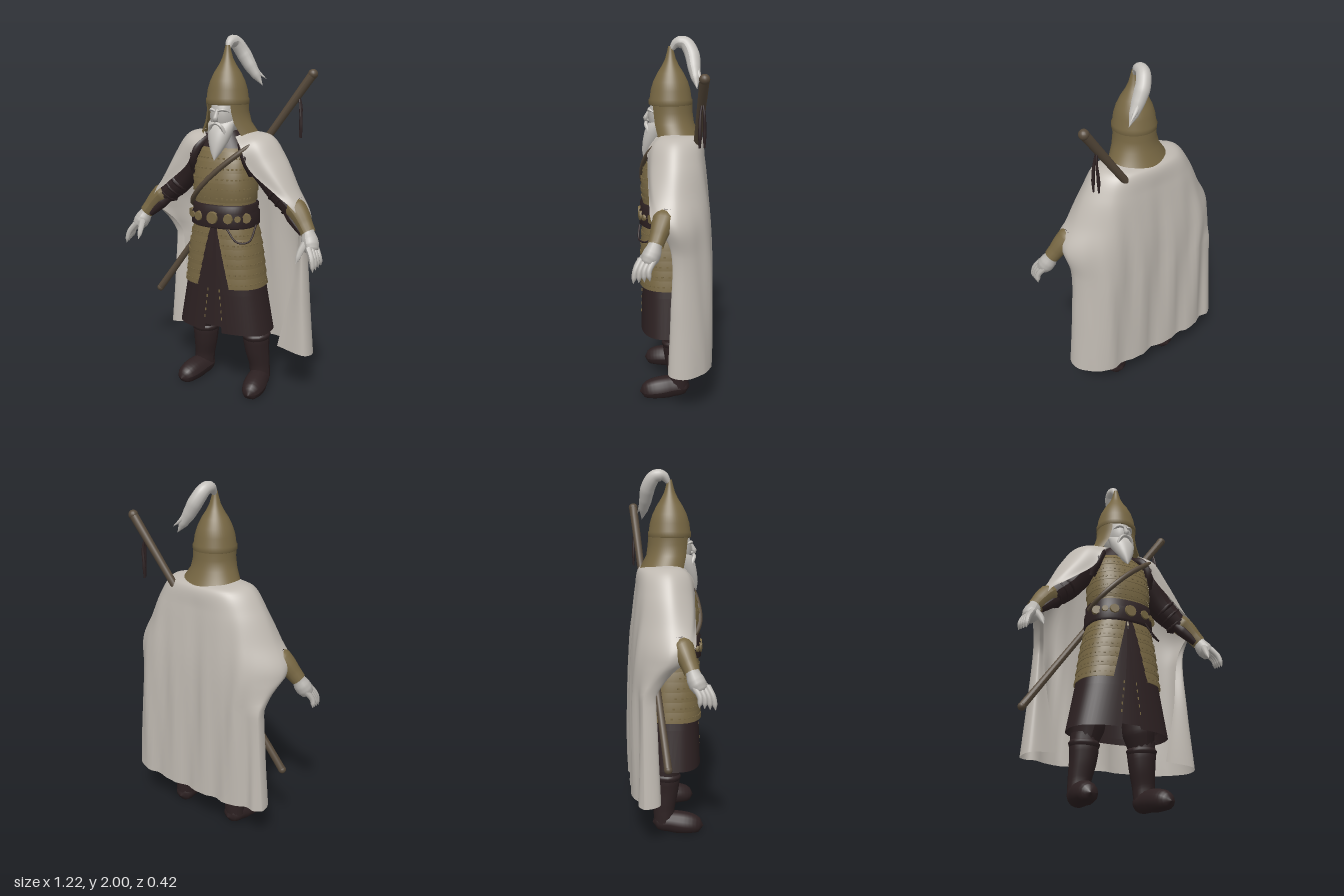
import * as THREE from 'three';
import { mergeGeometries, mergeVertices } from 'three/addons/utils/BufferGeometryUtils.js';

const V = (a) => new THREE.Vector3(...a);
const clamp01 = (v) => THREE.MathUtils.clamp(v, 0, 1);
const mat = (name, color) => Object.assign(
  new THREE.MeshStandardMaterial({ color, side: THREE.DoubleSide }), { name });

// Point on an oval body section. Ring = [y, halfWidth, zFront, zBack, frontGap]; angle 0 is the front.
function section([y, rx, zf, zb], t, p) {
  const f = (v) => Math.sign(v) * Math.abs(v) ** (2 / p);
  return [rx * f(Math.sin(t)), y, (zf + zb) / 2 + ((zf - zb) / 2) * f(Math.cos(t))];
}

// Grid of points (rows from top to bottom) to a smooth surface.
function gridSurface(rows) {
  const n = rows[0].length, index = [];
  for (let j = 0; j < rows.length - 1; j++) {
    for (let i = 0; i < n - 1; i++) {
      const a = j * n + i, c = a + n;
      index.push(a, c, a + 1, a + 1, c, c + 1);
    }
  }
  let g = new THREE.BufferGeometry();
  g.setAttribute('position', new THREE.Float32BufferAttribute(rows.flat(2), 3));
  g.setIndex(index);
  g = mergeVertices(g, 1e-5);
  g.computeVertexNormals();
  return g;
}

function loft(rings, p = 2, n = 56) {
  return gridSurface(rings.map((r) => Array.from({ length: n + 1 }, (_, i) => {
    const gap = r[4] || 0;
    return section(r, gap + (i / n) * (2 * Math.PI - 2 * gap), p);
  })));
}

function ringAt(rings, y) {
  const j = Math.max(1, rings.findIndex((r) => r[0] <= y));
  const a = rings[j - 1], b = rings[j], k = (a[0] - y) / (a[0] - b[0]);
  return a.map((v, i) => v + (b[i] - v) * k);
}

// Overlapping rows of armour: each band leans slightly out over the one below.
function bands(rings, p, ys) {
  const grow = ([y, rx, zf, zb, gap], d) => [y, rx + d, zf + d, zb - d, gap];
  return mergeGeometries(ys.slice(1).map((y, k) => loft(
    [grow(ringAt(rings, ys[k]), -0.003), grow(ringAt(rings, y), 0.003), grow(ringAt(rings, y), -0.004)], p)));
}

// Rows of small raised pieces lying on a lofted surface.
function studs(rings, p, ys, angles, w, h) {
  return mergeGeometries(ys.flatMap((y) => angles.map((t0) => {
    const ring = ringAt(rings, y), t = t0 + Math.sign(t0) * (ring[4] || 0);
    const a = section(ring, t, p), b = section(ring, t + 0.01, p);
    return new THREE.BoxGeometry(w, h, 0.008).rotateY(Math.atan2(a[2] - b[2], b[0] - a[0])).translate(...a);
  })));
}

// Round tube along points whose radius follows a list.
function taper(pts, radii, seg = 20, sides = 14) {
  const curve = new THREE.CatmullRomCurve3(pts.map(V));
  const g = new THREE.TubeGeometry(curve, seg, 1, sides);
  const pos = g.attributes.position, v = new THREE.Vector3();
  for (let i = 0; i <= seg; i++) {
    const c = curve.getPointAt(i / seg), k = (i / seg) * (radii.length - 1);
    const a = Math.min(Math.floor(k), radii.length - 2);
    const r = Math.max(0.0005, radii[a] + (radii[a + 1] - radii[a]) * (k - a));
    for (let s = 0; s <= sides; s++) {
      const q = i * (sides + 1) + s;
      v.fromBufferAttribute(pos, q).sub(c).multiplyScalar(r).add(c);
      pos.setXYZ(q, v.x, v.y, v.z);
    }
  }
  g.computeVertexNormals();
  return g;
}

export function createModel() {
  const model = new THREE.Group();
  const cloth = mat('pale cloak', 0xbfb9b1), skin = mat('pale skin', 0xb7b4af);
  const hair = mat('white hair', 0xc3c0bb), gold = mat('dull gold', 0x776743);
  const dark = mat('dark brown cloth', 0x2d2122), wood = mat('brown wood', 0x56493a);
  const add = (name, g, m) => {
    const mesh = new THREE.Mesh(g, m);
    mesh.name = name;
    model.add(mesh);
  };

  // Torso armour, belt, skirt and thigh guards
  const torso = [[1.45, 0.09, 0.1, -0.07], [1.41, 0.14, 0.14, -0.09], [1.33, 0.168, 0.172, -0.1],
    [1.24, 0.178, 0.193, -0.1], [1.17, 0.178, 0.193, -0.09], [1.07, 0.165, 0.18, -0.08]];
  const side = Array.from({ length: 9 }, (_, i) => 0.07 + i * 0.16);
  const bothSides = [...side.map((t) => -t), ...side];
  add('chestArmour', bands(torso, 2.5, [1.44, 1.39, 1.335, 1.28, 1.225, 1.17, 1.12, 1.08]), gold);
  add('chestStuds', studs(torso, 2.5, [1.355, 1.3, 1.245, 1.19, 1.14], bothSides, 0.012, 0.008), gold);
  add('collar', loft([[1.5, 0.07, 0.1, -0.06], [1.44, 0.12, 0.13, -0.08], [1.41, 0.146, 0.145, -0.095]], 2.2), dark);

  const belt = [[1.105, 0.17, 0.18, -0.085], [1.1, 0.182, 0.2, -0.1], [1.06, 0.18, 0.198, -0.1],
    [1.055, 0.187, 0.204, -0.105], [0.985, 0.19, 0.205, -0.105], [0.975, 0.18, 0.19, -0.09]];
  add('belt', loft(belt, 2.5), dark);
  [-1.1, -0.75, -0.42, 0, 0.42, 0.75, 1.1].forEach((t, i) => {
    const r = i === 3 ? 0.037 : i % 2 ? 0.02 : 0.03;
    const g = new THREE.CylinderGeometry(r * 0.85, r, 0.016, i === 3 ? 20 : 8).rotateX(Math.PI / 2);
    const [x, , z] = section(belt[3], t, 2.5);
    add('beltPlate', g.rotateY(t * 0.55).translate(x, 1.035, z), gold);
  });

  const skirt = [[1.0, 0.17, 0.17, -0.09, 0.01], [0.8, 0.205, 0.183, -0.1, 0.03],
    [0.6, 0.24, 0.192, -0.11, 0.07], [0.375, 0.282, 0.2, -0.12, 0.13]];
  add('skirt', loft(skirt, 2.5), dark);
  add('skirtTrim', studs(skirt, 2.5, [0.62, 0.58, 0.54, 0.5, 0.46], [-0.03, 0.03], 0.005, 0.016), gold);
  add('innerSkirt', loft([[0.95, 0.15, 0.155, -0.07], [0.4, 0.22, 0.175, -0.09]], 2.5), dark);
  const guards = [[0.98, 0.182, 0.19, -0.1, 0.06], [0.85, 0.21, 0.2, -0.11, 0.17],
    [0.64, 0.238, 0.204, -0.12, 0.34]];
  add('thighGuards', bands(guards, 2.5, [0.98, 0.92, 0.865, 0.81, 0.755, 0.7, 0.64]), gold);
  add('guardStuds', studs(guards, 2.5, [0.94, 0.885, 0.83, 0.775, 0.72, 0.665], bothSides, 0.013, 0.008), gold);
  add('hipCord', taper([[0.09, 0.98, 0.2], [0.15, 0.915, 0.198], [0.2, 0.915, 0.155], [0.2, 0.99, 0.07]], [0.005, 0.005]), dark);
  add('chestStrap', taper([[0.22, 1.455, 0.03], [0.19, 1.435, 0.1], [0.11, 1.37, 0.155], [0, 1.275, 0.187], [-0.1, 1.175, 0.185],
    [-0.165, 1.1, 0.135], [-0.185, 1.06, 0.06]], [0.014, 0.015, 0.014], 36), wood);

  // Limbs, mirrored
  for (const s of [1, -1]) {
    const m = (pts) => pts.map(([x, y, z]) => [s * x, y, z]);
    add('shoulderStrap', taper(m([[0.1, 1.46, 0.03], [0.135, 1.42, 0.105], [0.165, 1.35, 0.12], [0.18, 1.27, 0.08]]),
      [0.025, 0.028, 0.028, 0.025]), dark);
    add('sleeve', taper(m([[0.13, 1.38, 0.02], [0.2, 1.33, 0.025], [0.3, 1.205, 0.02], [0.41, 1.1, 0.04]]),
      [0.06, 0.083, 0.077, 0.073, 0.06]), dark);
    for (let i = 0; i < 3; i++) {
      const x = 0.32 + i * 0.037, y = 1.185 - i * 0.037;
      add('sleeveFold', taper(m([[x - 0.02, y + 0.02, 0.027], [x + 0.02, y - 0.02, 0.035]]), [0.05, 0.076 - i * 0.003, 0.05], 8), dark);
    }
    add('forearmGuard', taper(m([[0.39, 1.13, 0.04], [0.45, 1.075, 0.06], [0.515, 0.99, 0.09]]),
      [0.05, 0.06, 0.053, 0.045, 0.041]), gold);
    add('forearmLacing', taper(m([[0.38, 1.09, 0.055], [0.43, 1.04, 0.075], [0.485, 0.985, 0.095]]), [0.03, 0.034, 0.028, 0.02]), dark);
    add('palm', taper(m([[0.505, 1.01, 0.085], [0.53, 0.955, 0.105], [0.562, 0.885, 0.14]]),
      [0.034, 0.037, 0.045, 0.046, 0.037, 0]), skin);
    for (let i = 0; i < 4; i++) {
      const z = 0.175 - i * 0.022;
      add('finger', taper(m([[0.545 + i * 0.004, 0.93, z - 0.015], [0.575 + i * 0.005, 0.88, z + 0.01],
        [0.588 + i * 0.004, 0.815 + i * 0.006, z + 0.022 - i * 0.006]]), [0.018, 0.017, 0.016, 0.015, 0.013, 0.001], 15, 8), skin);
    }
    add('thumb', taper(m([[0.525, 0.965, 0.11], [0.505, 0.91, 0.165], [0.497, 0.85, 0.205]]),
      [0.022, 0.021, 0.018, 0.016, 0.013, 0.001], 15, 8), skin);

    add('trouserLeg', taper(m([[0.13, 0.6, 0.01], [0.15, 0.42, 0], [0.168, 0.32, -0.005]]), [0.085, 0.09, 0.09, 0.066]), dark);
    add('bootShaft', taper(m([[0.167, 0.37, -0.005], [0.172, 0.24, -0.01], [0.184, 0.14, -0.02], [0.19, 0.05, -0.02]]),
      [0.074, 0.077, 0.069, 0.06, 0.058]), dark);
    add('bootCuff', taper(m([[0.168, 0.34, -0.005], [0.17, 0.29, -0.008]]), [0.07, 0.084, 0.08, 0.07], 8), dark);
    const foot = taper(m([[0.182, 0.045, -0.085], [0.188, 0.055, -0.02], [0.208, 0.045, 0.09], [0.222, 0.03, 0.2]]),
      [0, 0.045, 0.056, 0.06, 0.061, 0.062, 0.064, 0.065, 0.065, 0.063, 0.059, 0.052, 0.038, 0], 39);
    const pos = foot.attributes.position;
    for (let i = 0; i < pos.count; i++) pos.setY(i, Math.max(0, pos.getY(i)));
    foot.computeVertexNormals();
    add('bootFoot', foot, dark);

    // Facial pairs
    add('eyebrow', taper(m([[0.008, 1.605, 0.15], [0.033, 1.612, 0.144], [0.06, 1.6, 0.115]]), [0.006, 0.009, 0.002], 10, 8), hair);
    add('moustache', taper(m([[0, 1.543, 0.163], [0.025, 1.533, 0.162], [0.043, 1.5, 0.15], [0.046, 1.46, 0.15]]),
      [0.008, 0.011, 0.01, 0.001], 14, 8), hair);
  }

  // Head and beard
  add('head', new THREE.SphereGeometry(1, 28, 20).scale(0.079, 0.125, 0.1).translate(0, 1.575, 0.05), skin);
  add('nose', taper([[0, 1.612, 0.14], [0, 1.585, 0.155], [0, 1.558, 0.164], [0, 1.55, 0.145]], [0.009, 0.011, 0.015, 0.006], 12, 10), skin);
  add('beard', loft([[1.565, 0.078, 0.1, 0.03], [1.535, 0.077, 0.152, 0.04], [1.49, 0.07, 0.172, 0.05],
    [1.44, 0.055, 0.182, 0.08], [1.39, 0.031, 0.187, 0.12], [1.345, 0.002, 0.18, 0.176]]), hair);

  // Helmet with neck guard and plume
  const bowl = [[0.112, 1.635], [0.119, 1.64], [0.119, 1.665], [0.114, 1.67], [0.108, 1.715], [0.094, 1.76],
    [0.072, 1.805], [0.046, 1.845], [0.029, 1.88], [0.018, 1.92], [0.012, 1.945]].map((a) => new THREE.Vector2(...a));
  add('helmet', new THREE.LatheGeometry(bowl, 48).translate(0, 0, 0.028), gold);
  const guard = [[1.655, 0.115, 0.145, -0.09, 0.62], [1.6, 0.114, 0.142, -0.092, 0.66],
    [1.54, 0.129, 0.138, -0.1, 0.7], [1.47, 0.172, 0.128, -0.135, 0.76]];
  add('neckGuard', loft(guard), gold);
  add('plume', taper([[0, 1.925, 0.025], [0, 1.962, -0.005], [0.005, 1.962, -0.05], [0.03, 1.91, -0.085],
    [0.075, 1.83, -0.1], [0.14, 1.73, -0.115]], [0.012, 0.032, 0.038, 0.04, 0.035, 0.024, 0], 36), hair);
  add('plumeStrand', taper([[0.03, 1.92, -0.08], [0.09, 1.82, -0.115], [0.15, 1.765, -0.14]], [0.02, 0.022, 0], 14, 8), hair);

  // Staff slung across the back, with its rounded ends and tassel
  const low = [-0.51, 0.482, -0.03], high = [0.42, 1.795, -0.148];
  add('staff', taper([low, [-0.05, 1.135, -0.09], high], [0.021, 0.019, 0.019, 0.02, 0.021, 0.025], 30), wood);
  add('staffFoot', new THREE.SphereGeometry(0.022, 16, 12).translate(...low), wood);
  add('staffKnob', new THREE.SphereGeometry(0.027, 16, 12).translate(...high), wood);
  for (const k of [-1, 1]) {
    add('tassel', taper([[0.345, 1.69, -0.14], [0.358, 1.62, -0.14 + k * 0.01], [0.36 + k * 0.007, 1.54, -0.14 + k * 0.012],
      [0.36 + k * 0.008, 1.455, -0.14 + k * 0.012]], [0.005, 0.006, 0.008, 0.009, 0.005], 16, 8), dark);
  }

  // Cloak: each row runs front edge, front bulge, side, back quarter, back centre
  const half = [
    [[0.09, 1.47, 0.105], [0.13, 1.49, 0.06], [0.14, 1.495, 0], [0.09, 1.49, -0.08], [0, 1.49, -0.1]],
    [[0.145, 1.41, 0.145], [0.21, 1.45, 0.1], [0.25, 1.47, 0], [0.19, 1.46, -0.11], [0, 1.46, -0.145]],
    [[0.19, 1.31, 0.145], [0.28, 1.34, 0.115], [0.338, 1.355, 0], [0.25, 1.35, -0.13], [0, 1.35, -0.16]],
    [[0.34, 1.185, 0.13], [0.385, 1.205, 0.1], [0.412, 1.205, -0.01], [0.295, 1.2, -0.148], [0, 1.2, -0.175]],
    [[0.45, 1.09, 0.11], [0.475, 1.09, 0.06], [0.48, 1.06, -0.03], [0.34, 1.05, -0.162], [0, 1.05, -0.187]],
    [[0.42, 0.92, 0], [0.445, 0.92, 0.012], [0.458, 0.9, -0.05], [0.36, 0.88, -0.17], [0, 0.88, -0.193]],
    [[0.38, 0.6, 0], [0.455, 0.6, 0.015], [0.475, 0.58, -0.05], [0.39, 0.58, -0.172], [0, 0.58, -0.197]],
    [[0.31, 0.28, 0.01], [0.48, 0.26, 0.025], [0.503, 0.25, -0.05], [0.42, 0.25, -0.17], [0, 0.24, -0.2]]];
  const cols = 96, drops = 56;
  const across = half.map((r) => {
    const mirrored = r.slice(0, 4).reverse().map(([x, y, z]) => [-x, y, z]);
    return new THREE.CatmullRomCurve3([...r, ...mirrored].map(V)).getPoints(cols);
  });
  const down = across[0].map((_, i) => new THREE.CatmullRomCurve3(across.map((r) => r[i])).getPoints(drops));
  const rows = Array.from({ length: drops + 1 }, (_, j) => down.map((c) => {
    const { x, y, z } = c[j];
    const fold = clamp01((-z - 0.08) / 0.08) * clamp01((1.42 - y) / 0.6);
    // The right half hangs narrower and behind the staff
    const tuck = x < 0 ? clamp01((1.02 - y) / 0.17) : 0;
    return [x * (1 - 0.07 * tuck * clamp01(-x / 0.3)), y,
      z + fold * (0.009 * Math.sin(x * 30 + y * 2) + 0.004 * Math.sin(x * 57 - y * 3)) - 0.09 * tuck * clamp01((z + 0.18) / 0.12)];
  }));
  add('cloak', gridSurface(rows), cloth);

  return model;
}
